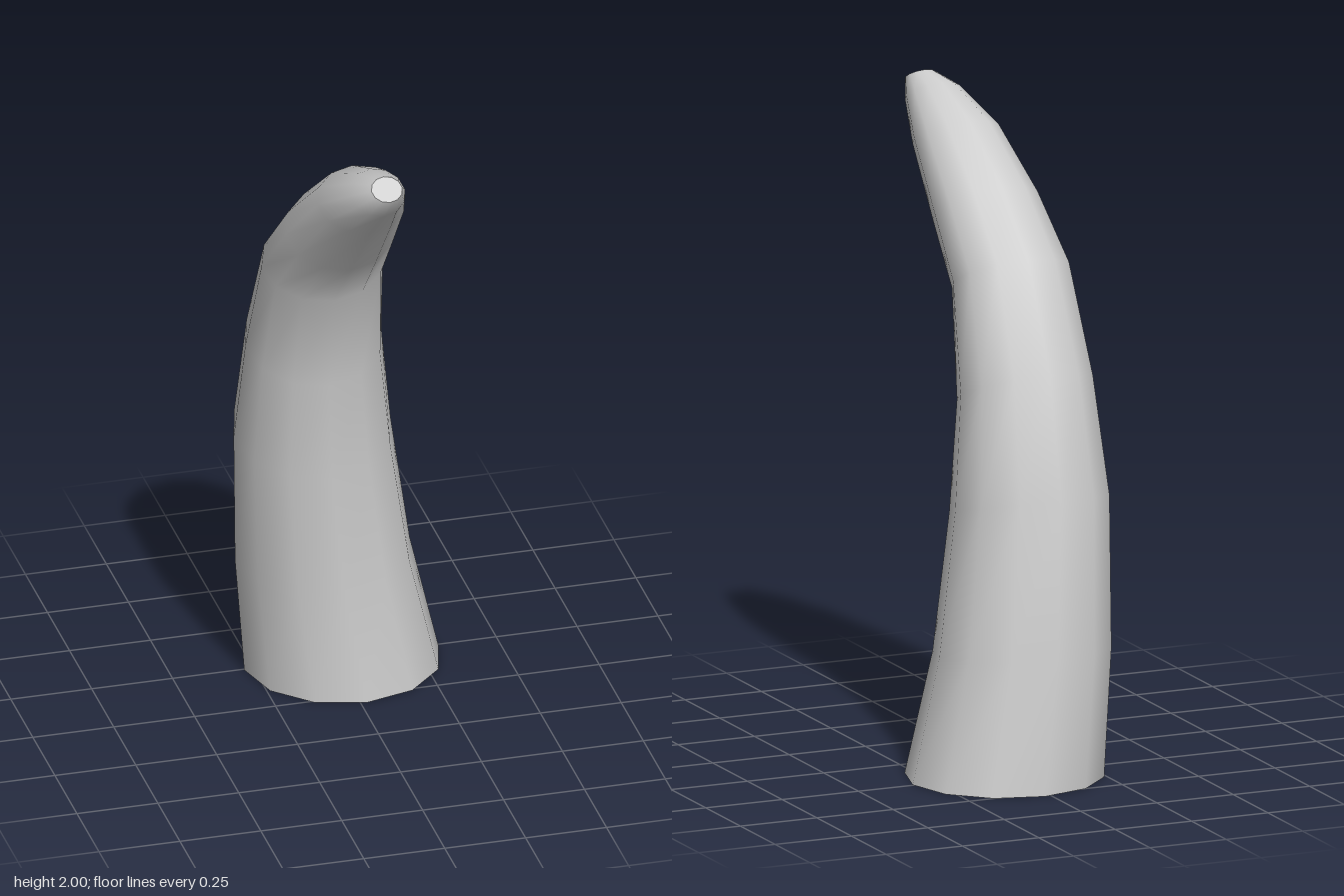
import * as THREE from 'three';

const SIDES = 12;

// Cross-sections from base to tip:
// [right x, left x, back z, back y, front z, front y]
const SECTIONS = [
  [-0.28, 0.32, -0.54, 0.00, 0.05, 0.00],
  [-0.31, 0.23, -0.50, 0.40, 0.02, 0.36],
  [-0.325, 0.16, -0.43, 0.87, 0.03, 0.76],
  [-0.305, 0.115, -0.32, 1.23, 0.04, 1.08],
  [-0.285, 0.09, -0.16, 1.55, 0.10, 1.40],
  [-0.25, 0.085, 0.00, 1.74, 0.235, 1.57],
  [-0.20, 0.07, 0.19, 1.90, 0.40, 1.78],
  [-0.14, 0.03, 0.37, 1.98, 0.51, 1.89],
  [-0.09, 0.005, 0.465, 2.00, 0.537, 1.95],
];

// Points around one tilted oval section, running from +x towards the front
function ring([x0, x1, zb, yb, zf, yf]) {
  const points = [];
  for (let i = 0; i < SIDES; i++) {
    const a = (i / SIDES) * Math.PI * 2;
    const s = Math.sin(a) / 2;
    points.push(new THREE.Vector3(
      (x0 + x1) / 2 + (Math.cos(a) * (x1 - x0)) / 2,
      (yb + yf) / 2 + s * (yf - yb),
      (zb + zf) / 2 + s * (zf - zb),
    ));
  }
  return points;
}

function build(points, index) {
  const geometry = new THREE.BufferGeometry().setFromPoints(points);
  geometry.setIndex(index);
  geometry.computeVertexNormals();
  return geometry;
}

// Smooth skin joining neighbouring sections
function skin(rings) {
  const index = [];
  for (let r = 0; r < rings.length - 1; r++) {
    for (let i = 0; i < SIDES; i++) {
      const j = (i + 1) % SIDES;
      const a = r * SIDES + i, b = r * SIDES + j;
      index.push(a, a + SIDES, b, b, a + SIDES, b + SIDES);
    }
  }
  return build(rings.flat(), index);
}

// Flat end closing one section
function cap(points, facesUp) {
  const index = [];
  for (let i = 1; i < SIDES - 1; i++) {
    index.push(0, ...(facesUp ? [i + 1, i] : [i, i + 1]));
  }
  return build(points, index);
}

export function createModel() {
  const group = new THREE.Group();
  group.name = 'horn';
  const material = new THREE.MeshStandardMaterial({ color: 0xcccccc });
  const rings = SECTIONS.map(ring);

  const add = (name, geometry) => {
    const mesh = new THREE.Mesh(geometry, material);
    mesh.name = name;
    group.add(mesh);
  };
  add('hornBody', skin(rings));
  add('hornBase', cap(rings[0], false));
  add('hornTip', cap(rings[rings.length - 1], true));
  return group;
}
